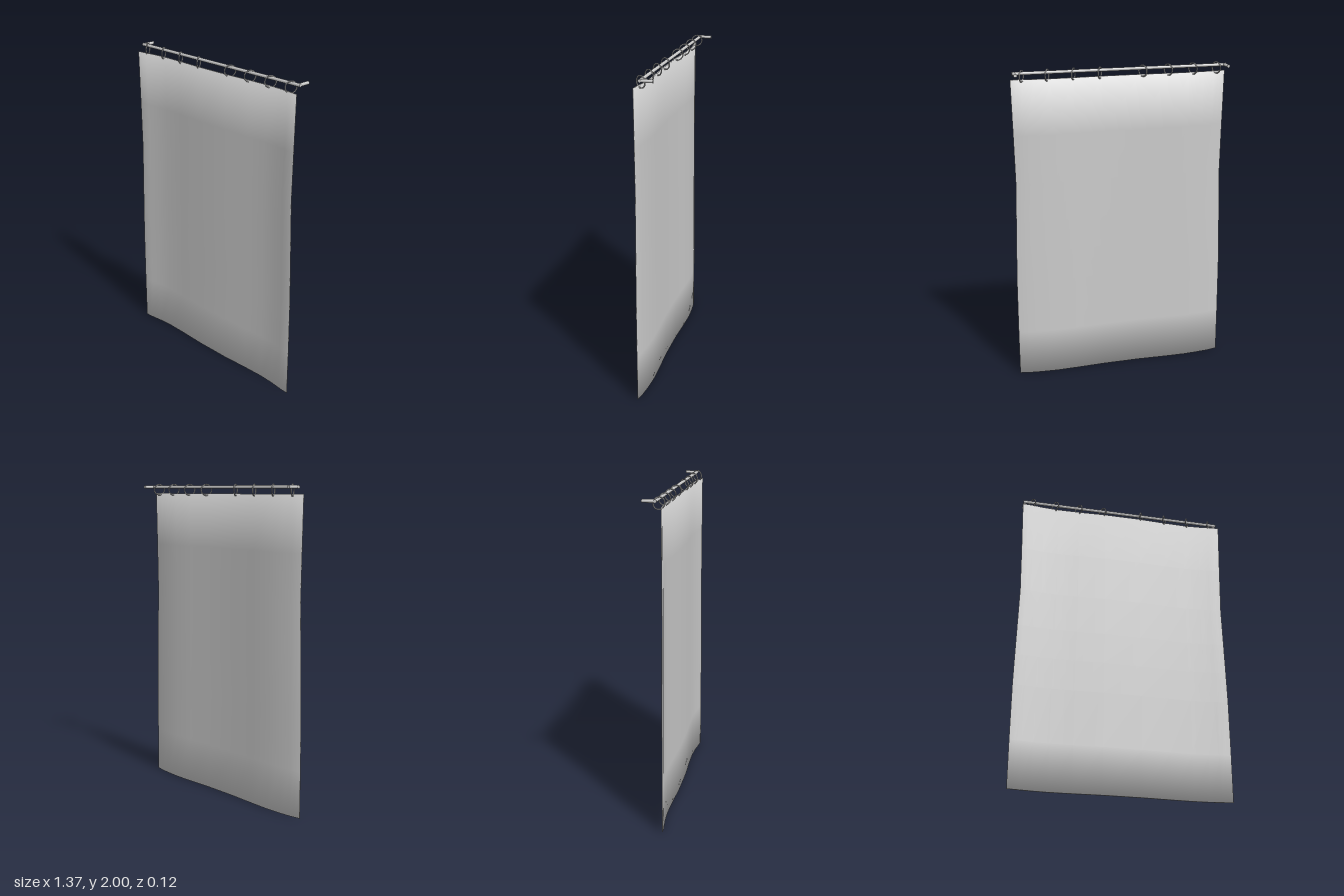
import * as THREE from 'three';

const material = new THREE.MeshStandardMaterial({ color: 0xcccccc, roughness: 0.8 });

function add(parent, name, geometry, x, y, z) {
  const mesh = new THREE.Mesh(geometry, material);
  mesh.name = name;
  mesh.position.set(x, y, z);
  parent.add(mesh);
  return mesh;
}

// Thin closed sheet: one wavy cross-section stacked in rows of varying width
function curtainGeometry() {
  // x, middle z and half thickness of the right half of the section
  const half = [[0.12, 0.033, 0.005], [0.3, 0.025, 0.005], [0.44, 0.022, 0.005],
    [0.54, 0.028, 0.005], [0.61, 0.036, 0.006], [0.645, 0.041, 0.005], [0.682, 0.045, 0.001]];
  const section = [...half.map(([x, z, t]) => [-x, z, t]).reverse(), ...half];
  const loop = [
    ...section.map(([x, z, t]) => [x, z + t]),
    ...section.map(([x, z, t]) => [x, z - t]).reverse(),
  ];
  // height and width factor of each row
  const rows = [[0.005, 1.003], [0.3, 1.003], [0.65, 1.0], [0.85, 0.993], [1.05, 0.985],
    [1.3, 0.975], [1.6, 0.982], [1.94, 0.992]];
  const n = loop.length, m = section.length, top = (rows.length - 1) * n;
  const positions = [], index = [];
  for (const [y, s] of rows) for (const [x, z] of loop) positions.push(x * s, y, z);
  for (let r = 0; r < rows.length - 1; r++) {
    for (let i = 0; i < n; i++) {
      const a = r * n + i, b = r * n + (i + 1) % n;
      index.push(a, b, b + n, a, b + n, a + n);
    }
  }
  // hems closing the bottom and the top
  for (let i = 0; i < m - 1; i++) {
    const j = n - 1 - i;
    index.push(i, j, j - 1, i, j - 1, i + 1);
    index.push(top + i, top + i + 1, top + j - 1, top + i, top + j - 1, top + j);
  }
  const geometry = new THREE.BufferGeometry();
  geometry.setAttribute('position', new THREE.Float32BufferAttribute(positions, 3));
  geometry.setIndex(index);
  geometry.computeVertexNormals();
  // softly rounded shading towards the hems
  const normals = geometry.attributes.normal;
  const v = new THREE.Vector3();
  for (let i = 0; i < n; i++) {
    for (const [k, dir] of [[i, -1], [top + i, 1]]) {
      v.fromBufferAttribute(normals, k).setY(dir * 0.8).normalize();
      normals.setXYZ(k, v.x, v.y, v.z);
    }
  }
  return geometry;
}

export function createModel() {
  const model = new THREE.Group();
  model.name = 'hangingCurtain';

  add(model, 'curtain', curtainGeometry(), 0, 0, 0);

  // Rod with a wall bracket at each end
  const rodY = 1.981, rodZ = 0.009;
  add(model, 'rod', new THREE.CylinderGeometry(0.01, 0.01, 1.34, 12), 0, rodY, rodZ)
    .rotation.z = Math.PI / 2;
  const bracket = new THREE.CylinderGeometry(0.01, 0.01, 0.074, 12).rotateX(Math.PI / 2);

  // Rings lean in mirrored directions on each half
  const ring = new THREE.TorusGeometry(0.034, 0.004, 8, 24);
  for (const side of [-1, 1]) {
    const label = side > 0 ? 'left' : 'right';
    add(model, label + 'Bracket', bracket, side * 0.66, rodY, -0.028);
    [0.135, 0.298, 0.458, 0.612].forEach((x, i) => {
      add(model, label + 'Ring' + (i + 1), ring, side * x, 1.963, 0.02)
        .rotation.y = side * Math.PI / 3;
    });
  }
  return model;
}
